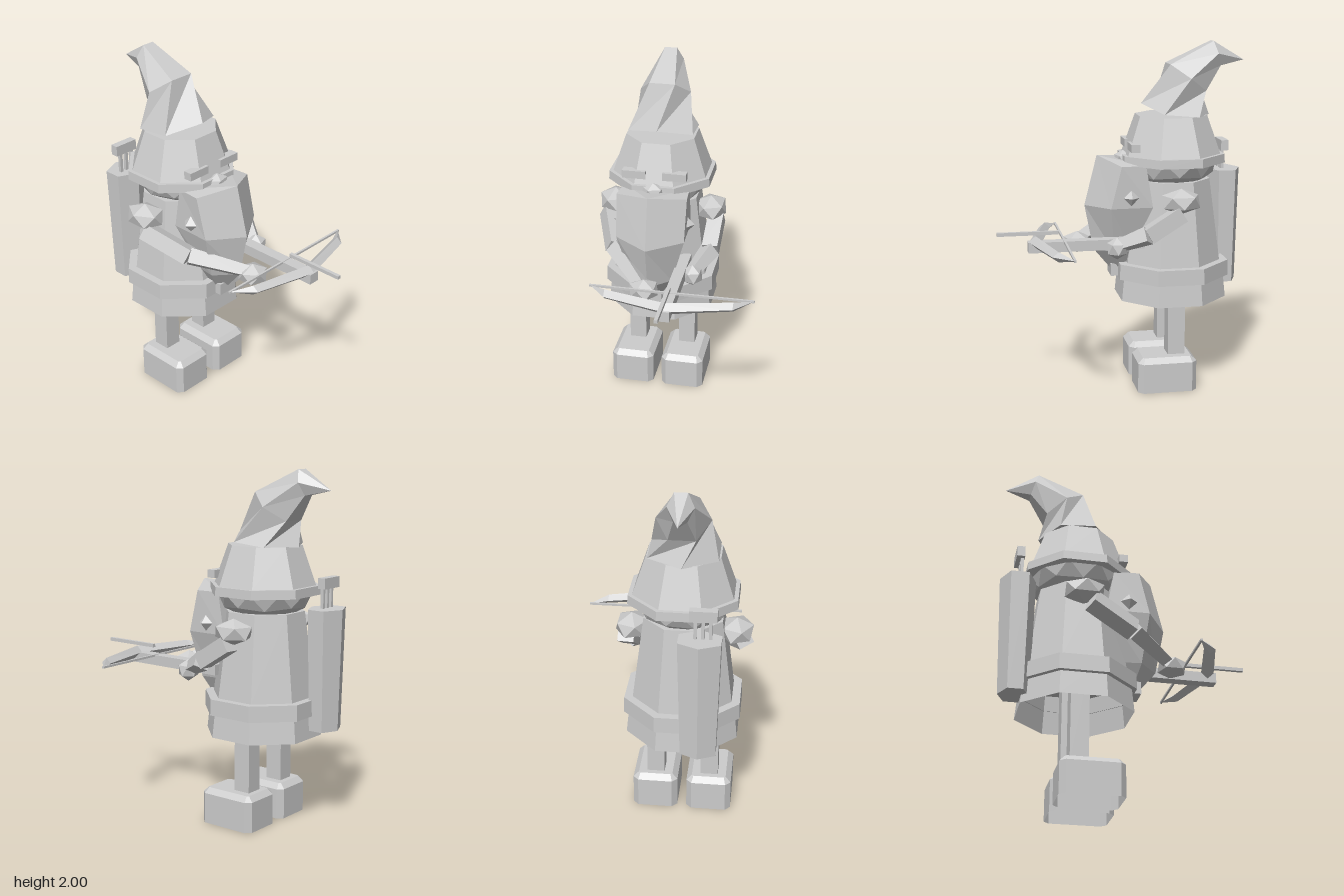
import * as THREE from 'three';

const CX = -0.13, CZ = -0.29; // axis of the body

export function createModel() {
  const root = new THREE.Group();
  root.name = 'gnomeArcher';
  const stone = new THREE.MeshStandardMaterial({ color: 0xcccccc, flatShading: true, side: THREE.DoubleSide });
  stone.name = 'plain grey';
  const V = (x, y, z) => new THREE.Vector3(x, y, z);

  function add(name, geo, x = 0, y = 0, z = 0) {
    const m = new THREE.Mesh(geo, stone);
    m.name = name;
    m.position.set(x, y, z);
    root.add(m);
    return m;
  }
  const box = (name, w, h, d, x, y, z) => add(name, new THREE.BoxGeometry(w, h, d), x, y, z);

  // eight-sided tapered drum with flats facing the axes
  const K = 1 / Math.cos(Math.PI / 8);
  function drum(name, y0, y1, a0, a1, open = false) {
    const g = new THREE.CylinderGeometry(a1 * K, a0 * K, y1 - y0, 8, 1, open).rotateY(Math.PI / 8);
    return add(name, g, CX, (y0 + y1) / 2, CZ);
  }

  // faceted ball with a corner at the top
  function ball(name, x, y, z, rx, ry, rz, detail = 0) {
    const g = new THREE.IcosahedronGeometry(1, detail).rotateZ(0.5536);
    const m = add(name, g, x, y, z);
    m.scale.set(rx, ry, rz);
    return m;
  }

  // square bar between two points
  function bar(name, a, b, w0, w1) {
    const g = new THREE.CylinderGeometry(w1 * 0.707, w0 * 0.707, a.distanceTo(b), 4).rotateY(Math.PI / 4);
    const m = add(name, g);
    m.position.copy(a).add(b).multiplyScalar(0.5);
    m.quaternion.setFromUnitVectors(V(0, 1, 0), b.clone().sub(a).normalize());
    return m;
  }

  // skin through rings of equal point count, turned outwards by its volume
  function loft(rings, openStart = false) {
    const tris = [], n = rings[0].length, last = rings[rings.length - 1];
    const tri = (a, b, c) => {
      const area = b.clone().sub(a).cross(c.clone().sub(a)).length();
      if (area > 1e-7) tris.push([a, b, c]);
    };
    for (let r = 0; r < rings.length - 1; r++) {
      for (let i = 0; i < n; i++) {
        const j = (i + 1) % n, p = rings[r], q = rings[r + 1];
        tri(p[i], p[j], q[j]);
        tri(p[i], q[j], q[i]);
      }
    }
    for (let i = 1; i < n - 1; i++) {
      if (!openStart) tri(rings[0][0], rings[0][i + 1], rings[0][i]);
      tri(last[0], last[i], last[i + 1]);
    }
    let volume = 0;
    for (const [a, b, c] of tris) volume += a.dot(b.clone().cross(c));
    const pts = tris.flatMap(([a, b, c]) => (volume < 0 ? [a, c, b] : [a, b, c]));
    const g = new THREE.BufferGeometry().setFromPoints(pts);
    g.computeVertexNormals();
    return g;
  }

  // tunic with a hollow skirt, and a belt ring around it
  drum('tunicSkirt', 0.52, 0.74, 0.307, 0.285, true);
  drum('tunic', 0.74, 1.22, 0.272, 0.212);
  const beltProfile = [[0.29, 0.65], [0.32, 0.65], [0.317, 0.74], [0.265, 0.74]]
    .map(([a, y]) => new THREE.Vector2(a * K, y));
  add('belt', new THREE.LatheGeometry(beltProfile, 8, Math.PI / 8), CX, 0, CZ);
  box('beltBuckle', 0.12, 0.07, 0.04, CX, 0.69, 0.05);

  // head, nose and eyebrows
  ball('head', CX, 1.335, CZ, 0.275, 0.18, 0.275, 1);
  ball('nose', CX, 1.335, -0.01, 0.07, 0.05, 0.055);
  for (const s of [-1, 1]) box('eyebrow', 0.135, 0.045, 0.05, CX + s * 0.115, 1.417, -0.053);

  // beard: front ridge, two sides and two back corners per section
  const beardRing = (yf, ys, zf, w, zs, wb, zb) => [
    V(CX, yf, zf), V(CX + w, ys, zs), V(CX + wb, ys, zb), V(CX - wb, ys, zb), V(CX - w, ys, zs),
  ];
  add('beard', loft([
    beardRing(1.36, 1.32, 0.142, 0.2, 0.03, 0.19, -0.11),
    beardRing(1.07, 1.08, 0.215, 0.195, 0.09, 0.19, -0.15),
    beardRing(0.81, 0.81, 0.165, 0.12, 0.06, 0.11, -0.04),
    beardRing(0.61, 0.61, 0, 0, 0, 0, 0),
  ]));
  for (const s of [-1, 1]) {
    const tuft = new THREE.ConeGeometry(0.055, 0.05, 4).rotateZ(-s * Math.PI / 2);
    add('beardTuft', tuft, CX + s * 0.21, 1.14, -0.025);
  }

  // hat: brim, lower cone and bent tip
  drum('hatBrim', 1.315, 1.365, 0.293, 0.29);
  drum('hatCone', 1.365, 1.585, 0.268, 0.195);
  const hatRing = (zf, yf, zb, yb, w, turn, bow = 1) => Array.from({ length: 6 }, (_, i) => {
    const a = turn + i * Math.PI / 3, t = (1 - Math.cos(a)) / 2;
    return V(CX + w * Math.sin(a), yf + (yb - yf) * t ** bow, zf + (zb - zf) * t);
  });
  add('hatTip', loft([
    hatRing(-0.115, 1.65, -0.515, 1.58, 0.215, 0, 0.3),
    hatRing(-0.255, 1.885, -0.495, 1.71, 0.145, Math.PI / 6),
    hatRing(-0.525, 2.01, -0.575, 1.85, 0.07, Math.PI / 6),
    hatRing(-0.715, 1.89, -0.715, 1.89, 0, 0),
  ]));

  // legs and chamfered boots, hollow underneath
  const bootRing = (y, w, d, c) => [
    [w, d - c], [w - c, d], [c - w, d], [-w, d - c], [-w, c - d], [c - w, -d], [w - c, -d], [w, c - d],
  ].map(([x, z]) => V(x, y, z));
  for (const s of [-1, 1]) {
    box('leg', 0.1, 0.56, 0.1, CX + s * 0.153, 0.46, CZ);
    add('boot', loft([
      bootRing(0, 0.127, 0.172, 0.03),
      bootRing(0.175, 0.127, 0.172, 0.03),
      bootRing(0.205, 0.097, 0.142, 0.01),
    ], true), CX + s * 0.153, 0, -0.228);
  }

  // shoulders and arms
  for (const s of [-1, 1]) ball('shoulder', CX + s * 0.285, 1.13, CZ, 0.1, 0.073, 0.122);
  const arms = [
    [V(0.19, 1.07, -0.29), V(0.185, 0.95, -0.1), V(0.11, 0.88, 0.05)],
    [V(-0.45, 1.06, -0.26), V(-0.355, 0.955, -0.01), V(-0.15, 0.87, 0.24)],
  ];
  for (const [a, b, c] of arms) {
    bar('upperArm', a, b, 0.09, 0.09);
    bar('forearm', b, c, 0.085, 0.06);
  }
  ball('leftHand', 0.11, 0.865, 0.065, 0.064, 0.064, 0.064);
  ball('rightHand', -0.13, 0.855, 0.26, 0.09, 0.063, 0.09);

  // quiver and its arrows
  const quiver = add('quiver', new THREE.CylinderGeometry(0.13, 0.11, 0.68, 6), -0.24, 0.905, -0.632);
  quiver.scale.z = 0.77;
  for (const i of [-1, 0, 1]) box('arrowShaft', 0.018, 0.14, 0.018, -0.255 + i * 0.04, 1.295, -0.62);
  box('arrowFeathers', 0.145, 0.06, 0.045, -0.257, 1.385, -0.63);

  // crossbow: stock, diamond-section bow, string and bolt
  box('crossbowStock', 0.066, 0.06, 0.66, 0.042, 0.878, 0.23);
  const bowRing = (x, z, d, h) => [
    V(x, 0.905 + h, z), V(x, 0.905, z + d), V(x, 0.905 - h, z), V(x, 0.905, z - d),
  ];
  add('crossbowBow', loft([
    bowRing(-0.415, 0.35, 0, 0),
    bowRing(-0.31, 0.43, 0.033, 0.028),
    bowRing(0.045, 0.517, 0.038, 0.035),
    bowRing(0.4, 0.43, 0.033, 0.028),
    bowRing(0.505, 0.35, 0, 0),
  ]));
  box('bowString', 0.92, 0.012, 0.012, 0.045, 0.905, 0.355);
  box('bolt', 0.02, 0.02, 0.345, 0.04, 0.955, 0.56);

  return root;
}
